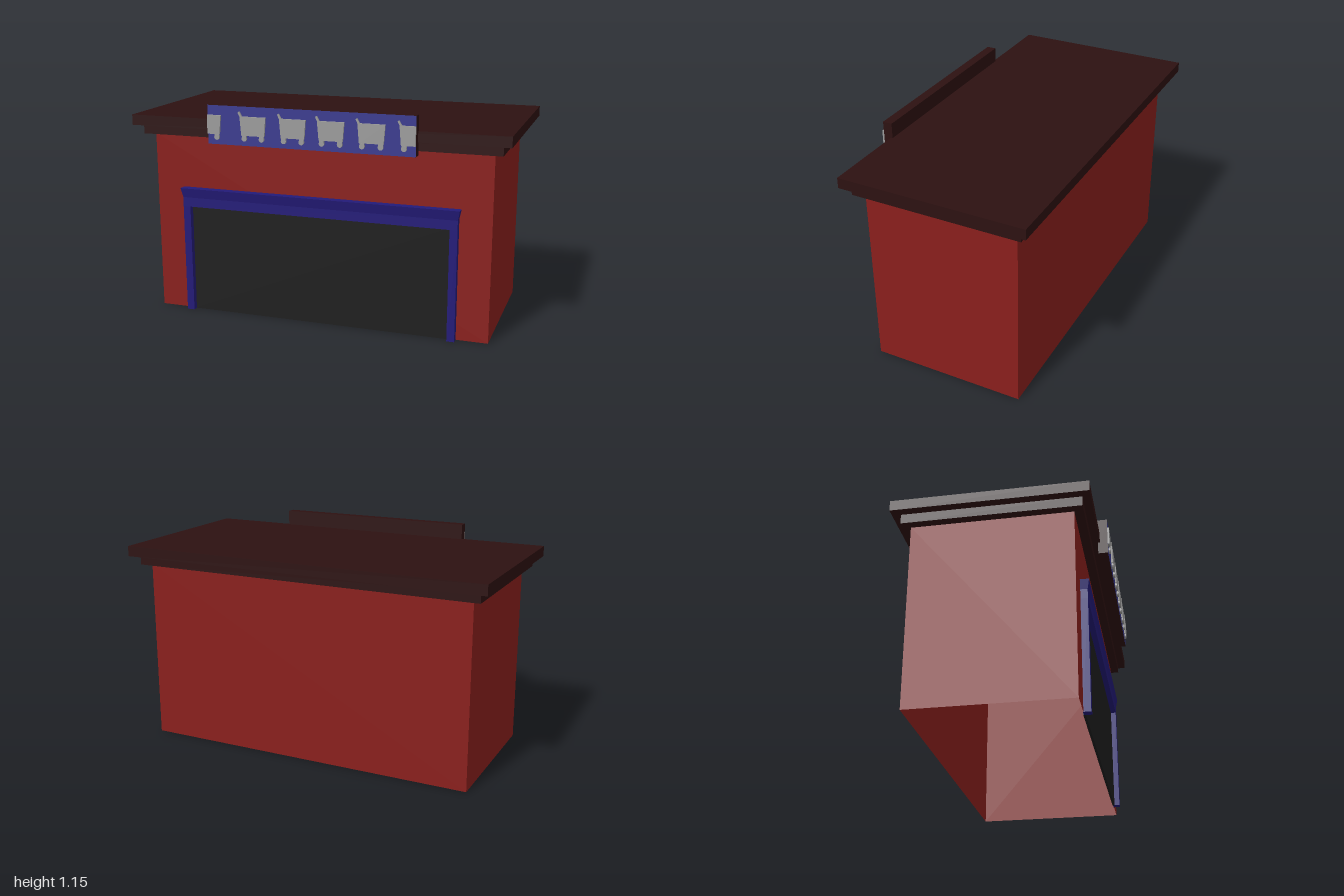
import * as THREE from 'three';

const material = (color, side = THREE.FrontSide) =>
  new THREE.MeshStandardMaterial({ color, side, flatShading: true });

export function createModel() {
  const model = new THREE.Group();
  const brick = material(0x8a1f1c, THREE.DoubleSide);
  const brown = material(0x2d1111);
  const navy = material(0x231a78);
  const black = material(0x1e1e1e);
  const signBlue = material(0x3a3a90);
  const grey = material(0x9c9c9c);

  function add(name, geometry, mat, parent = model) {
    const mesh = new THREE.Mesh(geometry, mat);
    mesh.name = name;
    parent.add(mesh);
    return mesh;
  }

  // Box given by its minimum and maximum corners
  function box(name, [x0, y0, z0], [x1, y1, z1], mat) {
    const g = new THREE.BoxGeometry(x1 - x0, y1 - y0, z1 - z0);
    g.translate((x0 + x1) / 2, (y0 + y1) / 2, (z0 + z1) / 2);
    return add(name, g, mat);
  }

  // Walls: a shell open at the bottom, closed above by the roof
  const corners = [[-0.91, 0.38], [0.91, 0.38], [0.91, -0.43], [-0.91, -0.43]];
  const outline = new THREE.Shape(corners.map(([x, z]) => new THREE.Vector2(x, -z)));
  const shell = new THREE.ExtrudeGeometry(outline, { depth: 0.97, bevelEnabled: false });
  const caps = shell.groups[0];
  const sides = shell.groups[1];
  shell.setDrawRange(sides.start, sides.count);
  // Keep only the side walls, dropping both caps
  for (const key of ['position', 'normal', 'uv']) {
    const a = shell.getAttribute(key);
    const kept = a.array.slice(caps.count * a.itemSize);
    shell.setAttribute(key, new THREE.BufferAttribute(kept, a.itemSize));
  }
  shell.clearGroups();
  shell.setDrawRange(0, Infinity);
  shell.rotateX(-Math.PI / 2);
  add('walls', shell, brick);

  // Stepped roof
  box('roofLowerSlab', [-0.955, 0.97, -0.47], [0.955, 1.02, 0.425], brown);
  box('roofUpperSlab', [-1, 1.02, -0.515], [1, 1.075, 0.465], brown);

  // Shutter door with its frame
  box('door', [-0.71, 0, 0.375], [0.71, 0.59, 0.387], black);
  for (const s of [-1, 1]) {
    const a = s * 0.705, b = s * 0.745;
    box(s > 0 ? 'leftDoorPost' : 'rightDoorPost',
      [Math.min(a, b), 0, 0.378], [Math.max(a, b), 0.585, 0.416], navy);
  }
  box('lintel', [-0.745, 0.585, 0.378], [0.745, 0.635, 0.416], navy);

  // Crown moulding flaring out towards its top edge
  const crown = new THREE.BoxGeometry(1.49, 0.05, 0.038);
  crown.translate(0, 0.66, 0.397);
  const p = crown.getAttribute('position');
  for (let i = 0; i < p.count; i++) {
    if (p.getY(i) < 0.66) continue;
    p.setX(i, p.getX(i) + Math.sign(p.getX(i)) * 0.01);
    if (p.getZ(i) > 0.397) p.setZ(i, 0.425);
  }
  crown.computeVertexNormals();
  add('lintelCrown', crown, navy);

  // Sign board: blue on the front face only
  box('signBoard', [-0.54, 0.955, 0.455], [0.55, 1.155, 0.505],
    [brown, brown, brown, brown, signBlue, brown]);

  // Row of cart reliefs; the outer two are cut off by the sign's ends
  const carts = new THREE.Group();
  carts.name = 'signCarts';
  model.add(carts);
  const relief = (name, geometry, parent) => {
    geometry.translate(0, 0, 0.504);
    add(name, geometry, grey, parent);
  };
  const polygon = (points) => new THREE.ExtrudeGeometry(
    new THREE.Shape(points.map(([x, y]) => new THREE.Vector2(x, y))),
    { depth: 0.01, bevelEnabled: false });

  for (const x of [-0.605, -0.36, -0.147, 0.053, 0.26, 0.47]) {
    const cart = new THREE.Group();
    cart.name = 'cart';
    carts.add(cart);
    const lo = Math.max(x, -0.54), hi = Math.min(x + 0.14, 0.55);
    const cutLeft = lo > x, cutRight = hi < x + 0.14;
    const inset = 0.008;
    relief('cartBody', polygon([
      [lo + (cutLeft ? 0 : inset), 1.008], [hi - (cutRight ? 0 : inset), 1.008],
      [hi, 1.105], [lo, 1.105]]), cart);
    if (!cutLeft) {
      relief('cartHandle', polygon([
        [x, 1.105], [x + 0.012, 1.105], [x - 0.002, 1.13], [x - 0.01, 1.125]]), cart);
    }
    for (const wx of [x + 0.023, x + 0.117]) {
      if (wx < lo || wx > hi) continue;
      const wheel = new THREE.CylinderGeometry(0.014, 0.014, 0.012, 12);
      wheel.rotateX(Math.PI / 2);
      wheel.translate(wx, 0.993, 0.006);
      relief('cartWheel', wheel, cart);
      relief('wheelFork', polygon([
        [wx - 0.012, 0.994], [wx + 0.012, 0.994], [wx + 0.012, 1.01], [wx - 0.012, 1.01]]), cart);
    }
  }
  return model;
}
